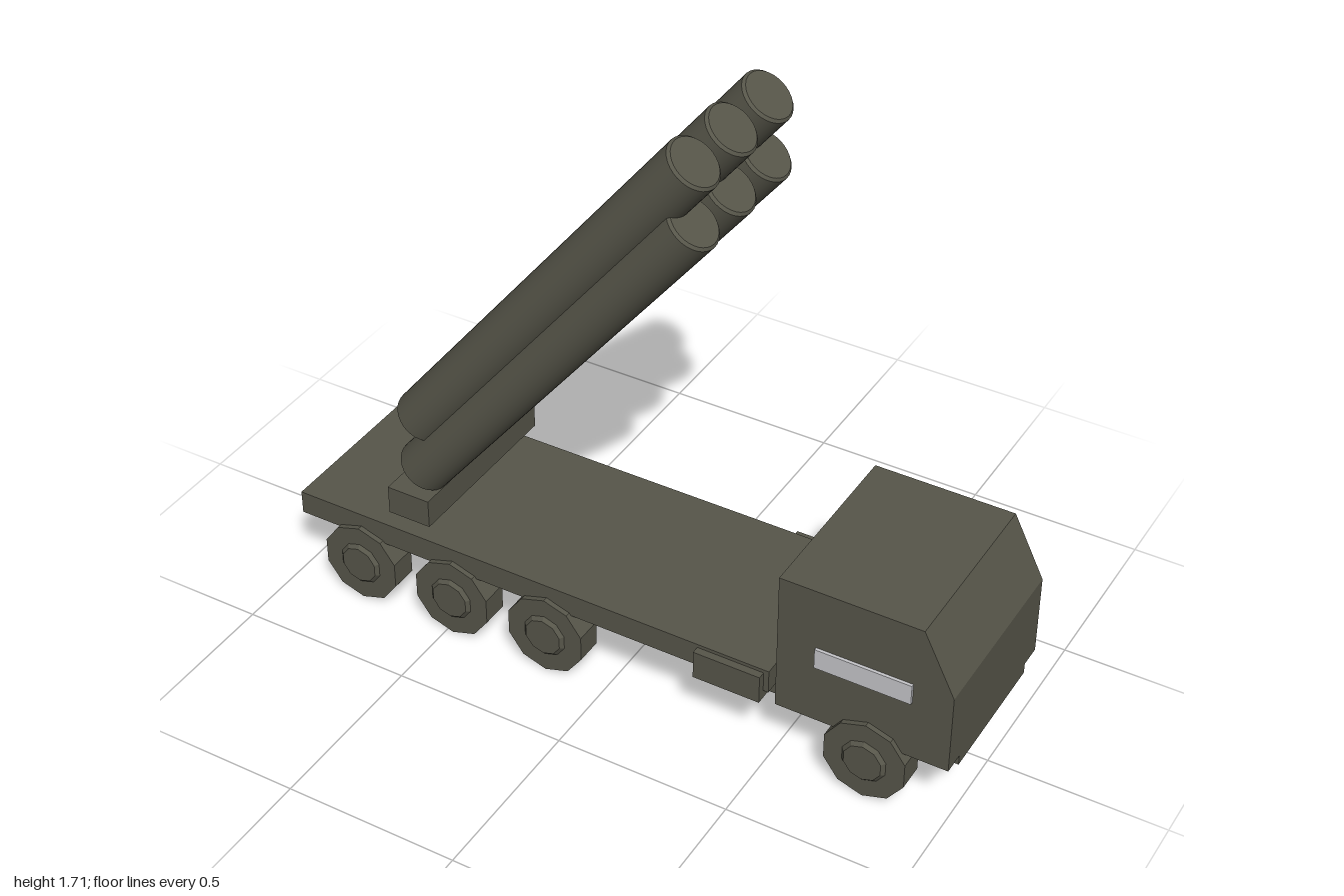
import * as THREE from 'three';
import { toCreasedNormals } from 'three/addons/utils/BufferGeometryUtils.js';

const olive = new THREE.MeshStandardMaterial({ color: 0x57564a });
olive.name = 'olive paint';
const glass = new THREE.MeshStandardMaterial({ color: 0xc6c6ca });
glass.name = 'pale window';

export function createModel() {
  const model = new THREE.Group();
  model.name = 'launcherTruck';

  const add = (name, geometry, material = olive, parent = model) => {
    const mesh = new THREE.Mesh(geometry, material);
    mesh.name = name;
    parent.add(mesh);
    return mesh;
  };

  // Box given by its lower and upper corners
  const box = (name, [x0, y0, z0], [x1, y1, z1], material) => {
    const mesh = add(name, new THREE.BoxGeometry(x1 - x0, y1 - y0, z1 - z0), material);
    mesh.position.set((x0 + x1) / 2, (y0 + y1) / 2, (z0 + z1) / 2);
    return mesh;
  };

  // Solid turned around y, with sharp edges kept
  const turned = (points, sides) => toCreasedNormals(
    new THREE.LatheGeometry(points.map(([r, y]) => new THREE.Vector2(r, y)), sides), 0.4);

  // Chassis, load bed and launcher support
  box('chassis', [-1, 0.15, -0.2], [1, 0.21, 0.2]);
  box('loadBed', [-0.98, 0.21, -0.265], [0.49, 0.28, 0.265]);
  box('launcherSupport', [-0.68, 0.33, -0.265], [-0.55, 0.415, 0.265]);

  // Cab with a sloping windscreen face
  const profile = new THREE.Shape([
    [0.51, 0.18], [1, 0.18], [1, 0.42], [0.91, 0.6], [0.51, 0.6],
  ].map(([x, y]) => new THREE.Vector2(x, y)));
  const cab = new THREE.ExtrudeGeometry(profile, { depth: 0.53, bevelEnabled: false });
  cab.translate(0, 0, -0.265);
  add('cab', cab);

  // Ten-sided wheel with a raised hub; axis along z after rotation
  const wheelGeometry = turned([
    [0, 0], [0.12, 0], [0.12, 0.08], [0.065, 0.08], [0.055, 0.09], [0, 0.09],
  ], 10);

  for (const side of [-1, 1]) {
    const span = (a, b) => (side > 0 ? [a, b] : [-b, -a]);

    // Side windows and tool boxes
    const [w0, w1] = span(0.265, 0.274);
    box('sideWindow', [0.62, 0.36, w0], [0.89, 0.42, w1], glass);
    const [t0, t1] = span(0.2, 0.287);
    box('toolBox', [0.28, 0.185, t0], [0.475, 0.27, t1]);

    for (const x of [-0.78, -0.48, -0.18, 0.775]) {
      const wheel = add('wheel', wheelGeometry);
      wheel.position.set(x, 0.12, side * 0.2);
      wheel.rotation.x = side * Math.PI / 2;
    }
  }

  // Two rows of three raised launch tubes with lightly chamfered ends
  const launcher = new THREE.Group();
  launcher.name = 'launcher';
  model.add(launcher);
  const half = 0.666, r = 0.076, c = 0.007;
  const tubeGeometry = turned([
    [0, -half], [r - c, -half], [r, -half + c], [r, half - c], [r - c, half], [0, half],
  ], 32);
  for (const y of [1.142, 0.977]) {
    for (const z of [-0.18, 0, 0.18]) {
      const tube = add('launchTube', tubeGeometry, olive, launcher);
      tube.position.set(-0.202, y, z);
      tube.rotation.z = -Math.atan2(0.828, 1.043);
    }
  }

  return model;
}
